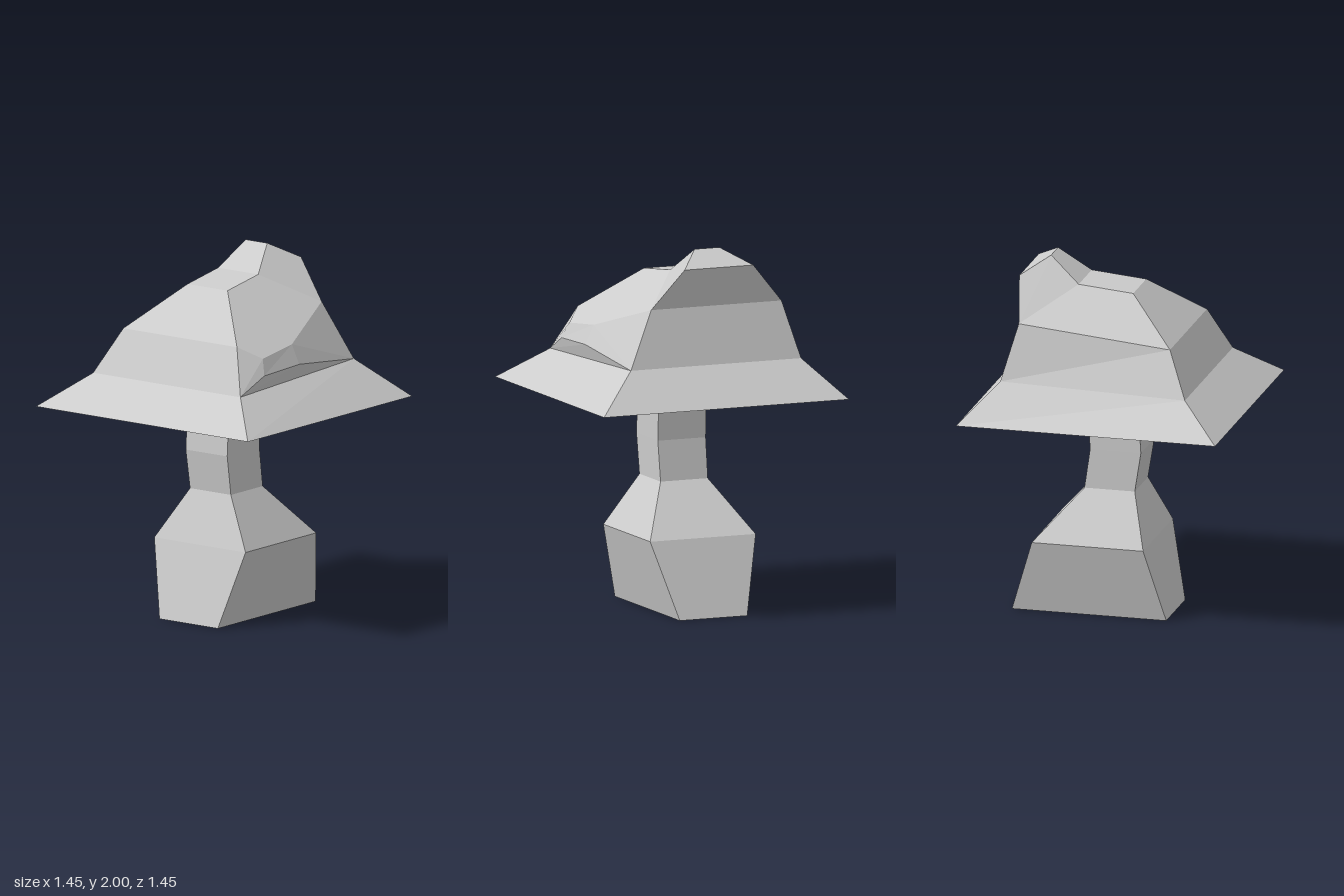
import * as THREE from 'three';

const stone = new THREE.MeshStandardMaterial({ color: 0xcccccc, flatShading: true });
stone.name = 'pale grey';

// Faceted mesh from counter-clockwise polygons, each fanned into triangles
function facetMesh(name, polygons) {
  const pos = [];
  for (const p of polygons)
    for (let i = 1; i < p.length - 1; i++) pos.push(...p[0], ...p[i], ...p[i + 1]);
  const geo = new THREE.BufferGeometry();
  geo.setAttribute('position', new THREE.Float32BufferAttribute(pos, 3));
  geo.computeVertexNormals();
  const mesh = new THREE.Mesh(geo, stone);
  mesh.name = name;
  return mesh;
}

// Rectangular cross-section: half width, height, back z, front z
const ring = (w, y, back, front) => [[-w, y, front], [w, y, front], [w, y, back], [-w, y, back]];

// Four walls joining a ring to the next one
const walls = (a, b) => a.map((p, i) => {
  const j = (i + 1) % 4;
  return [p, a[j], b[j], b[i]];
});

export function createModel() {
  const group = new THREE.Group();
  group.name = 'mushroom';

  // Stem: swollen foot, bent neck and flared top
  const stemRings = [
    ring(0.2, 0, -0.553, 0.313),
    ring(0.313, 0.42, -0.412, 0.213),
    ring(0.14, 0.7, -0.162, 0.12),
    ring(0.142, 0.92, -0.13, 0.155),
    ring(0.142, 1.16, -0.142, 0.14),
    ring(0.2, 1.34, -0.2, 0.2),
  ];
  const stem = [[...stemRings[0]].reverse()];
  for (let i = 0; i < stemRings.length - 1; i++) stem.push(...walls(stemRings[i], stemRings[i + 1]));
  group.add(facetMesh('stem', stem));

  // Cap profile from front to back: left x, right x, y, z
  const profile = [
    [-0.51, 0.5, 1.357, 0.5],
    [-0.392, 0.387, 1.6, 0.385],
    [-0.16, 0.115, 1.83, 0.117],
    [-0.183, 0.093, 1.865, -0.183],
    [-0.124, 0.023, 2, -0.353],
    [-0.262, 0.145, 1.915, -0.495],
    [-0.45, 0.323, 1.7, -0.448],
    [-0.53, 0.48, 1.39, -0.53],
  ];
  const L = profile.map(([l, , y, z]) => [l, y, z]);
  const R = profile.map(([, r, y, z]) => [r, y, z]);

  // Underside and sloping brim
  const brim = ring(0.727, 1.18, -0.727, 0.727);
  group.add(facetMesh('capUnderside', walls(stemRings[5], brim)));
  group.add(facetMesh('brim', walls(brim, [L[0], R[0], R[7], L[7]])));

  // Crown: strip running over the top, then both sides
  const crown = [];
  for (let i = 0; i < 7; i++) crown.push([L[i], R[i], R[i + 1], L[i + 1]]);
  crown.push([L[7], L[0], L[1], L[6]]);
  crown.push([L[6], L[1], L[2], L[3]], [L[6], L[3], L[4], L[5]]);
  crown.push([R[3], R[2], R[1], R[6]], [R[5], R[4], R[3], R[6]]);

  // Overhanging bulge on the +x side
  const a = [0.517, 1.445, 0.31], b = [0.515, 1.455, 0];
  const c = [0.483, 1.53, 0.28], d = [0.466, 1.56, 0];
  crown.push([R[0], R[7], b, a], [R[7], R[6], d, b], [a, b, d, c], [R[0], a, c, R[1]], [c, d, R[6], R[1]]);
  group.add(facetMesh('crown', crown));

  return group;
}
